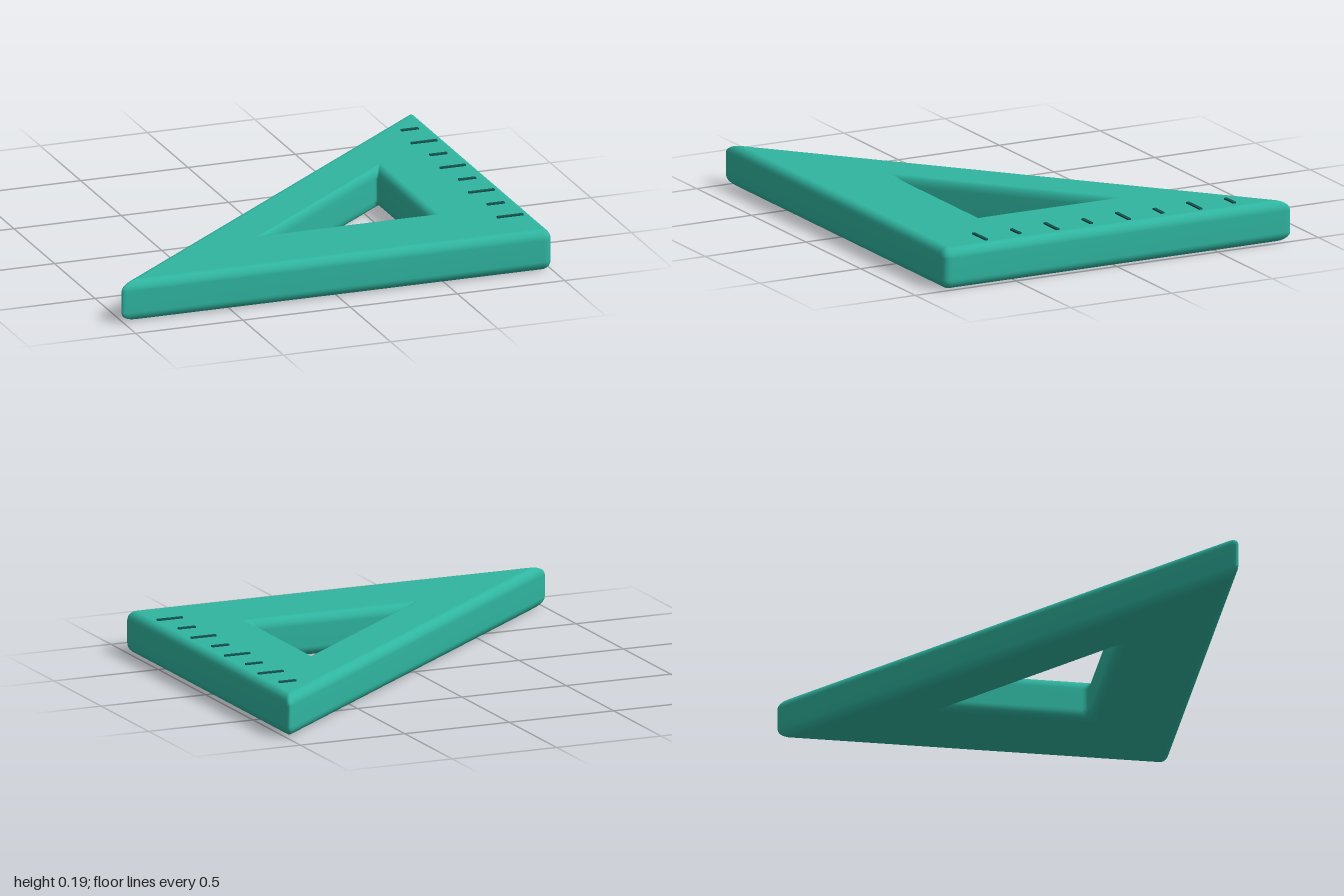
import * as THREE from 'three';

const HEIGHT = 0.187, BEVEL = 0.045, STEPS = 6, CORNER = 5;

// Outward normals (x, z) of the right, front and sloping edges
const EDGES = [[1, 0], [0, 1], [-0.651, -0.759]];

// Sharp corners of the triangle whose edges lie at the given distances
function triangle(dist) {
  return EDGES.map(([a, b], i) => {
    const j = (i + 1) % 3, [c, d] = EDGES[j], det = a * d - b * c;
    return new THREE.Vector2((dist[i] * d - b * dist[j]) / det, (a * dist[j] - dist[i] * c) / det);
  });
}

// Closed loop with each corner cut back and rounded
function roundedLoop(corners, cut) {
  return corners.flatMap((p, i) => {
    const toward = (q) => q.clone().sub(p).setLength(cut).add(p);
    const curve = new THREE.QuadraticBezierCurve(toward(corners[(i + 2) % 3]), p, toward(corners[(i + 1) % 3]));
    return curve.getPoints(CORNER);
  });
}

// Upright wall with rounded rims; grow moves the rim edges outward (or inward if negative)
function wall(dist, grow, cut, inward) {
  const rows = [];
  for (let i = 0; i <= STEPS; i++) {
    const a = (i / STEPS) * Math.PI / 2;
    rows.push([1 - Math.cos(a), HEIGHT - BEVEL + BEVEL * Math.sin(a)]);
  }
  const profile = [...rows.map(([t, y]) => [t, HEIGHT - y]).reverse(), ...rows];
  const pos = [], index = [], n = 3 * (CORNER + 1);
  profile.forEach(([t, y], r) => {
    const loop = roundedLoop(triangle(dist.map((d, i) => d + grow[i] * t)), cut * (1 - t) + 1e-4);
    loop.forEach((p) => pos.push(p.x, y, p.y));
    if (r === 0) return;
    for (let k = 0; k < n; k++) {
      const a = (r - 1) * n + k, b = (r - 1) * n + (k + 1) % n, c = a + n, d = b + n;
      if (inward) index.push(a, b, c, b, d, c);
      else index.push(a, c, b, b, c, d);
    }
  });
  const geo = new THREE.BufferGeometry();
  geo.setAttribute('position', new THREE.Float32BufferAttribute(pos, 3));
  geo.setIndex(index);
  geo.computeVertexNormals();
  // Rims blend into the flat faces
  const normal = geo.attributes.normal;
  for (let k = 0; k < n; k++) {
    normal.setXYZ(k, 0, -1, 0);
    normal.setXYZ(normal.count - 1 - k, 0, 1, 0);
  }
  return geo;
}

// Flat triangular face with its triangular opening
function face(outer, hole, up) {
  const flip = (pts) => pts.map((p) => new THREE.Vector2(p.x, up ? -p.y : p.y));
  const shape = new THREE.Shape(flip(outer));
  shape.holes.push(new THREE.Path(flip(hole)));
  const geo = new THREE.ShapeGeometry(shape);
  geo.rotateX(up ? -Math.PI / 2 : Math.PI / 2);
  geo.translate(0, up ? HEIGHT : 0, 0);
  return geo;
}

export function createModel() {
  const model = new THREE.Group();
  model.name = 'setSquare';
  const teal = new THREE.MeshStandardMaterial({ color: 0x2fb5a0 });
  teal.name = 'teal';
  const darkTeal = new THREE.MeshStandardMaterial({ color: 0x145450 });
  darkTeal.name = 'dark teal';
  const add = (geo, mat, name) => {
    const mesh = new THREE.Mesh(geo, mat);
    mesh.name = name;
    model.add(mesh);
    return mesh;
  };

  // Triangular body
  const outer = [1, 0.857, 0.0175], outerGrow = [-0.042, -0.042, -0.042];
  const hole = [0.575, 0.445, -0.23], holeGrow = [0.037, 0.042, 0.022];
  const rim = (dist, grow) => triangle(dist.map((d, i) => d + grow[i]));
  add(wall(outer, outerGrow, 0.04, false), teal, 'outerWall');
  add(wall(hole, holeGrow, 0.03, true), teal, 'innerWall');
  add(face(rim(outer, outerGrow), rim(hole, holeGrow), true), teal, 'topFace');
  add(face(rim(outer, outerGrow), rim(hole, holeGrow), false), teal, 'bottomFace');

  // Measuring marks, alternately short and long
  for (let i = 0; i < 8; i++) {
    const mark = add(new THREE.BoxGeometry(i % 2 ? 0.12 : 0.08, 0.009, 0.015), darkTeal, 'measuringMark');
    mark.position.set(0.89, HEIGHT + 0.0025, -0.62 + i * 0.177);
  }
  return model;
}
